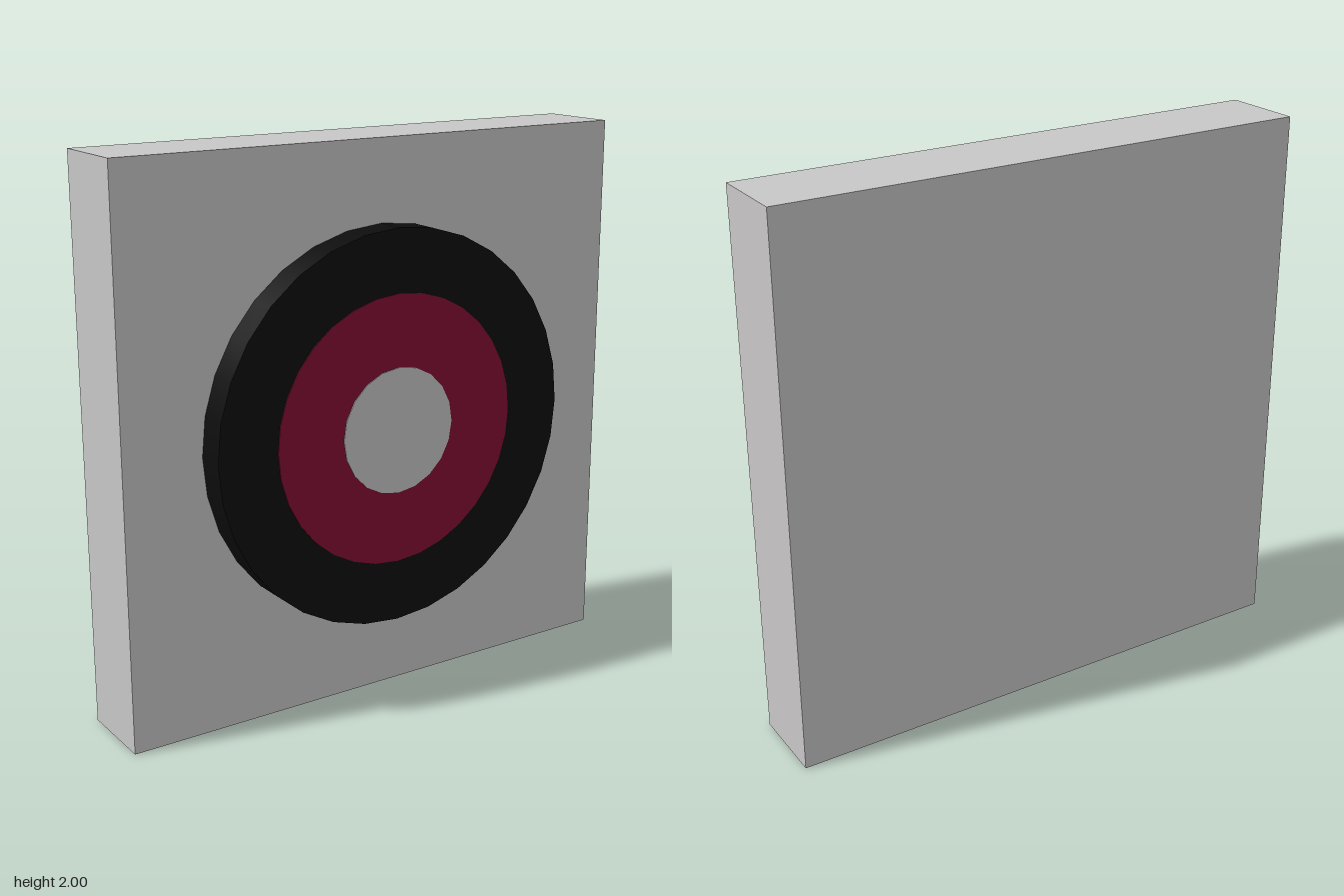
import * as THREE from 'three';

export function createModel() {
  const model = new THREE.Group();
  model.name = 'targetPanel';

  const paint = (name, color) => {
    const m = new THREE.MeshStandardMaterial({ color });
    m.name = name;
    return m;
  };
  const grey = paint('light grey', 0xc9c7c8);
  const black = paint('black', 0x0d0d0d);
  const crimson = paint('crimson', 0x860f35);

  // Everything sits on a barely turned panel
  const panel = new THREE.Group();
  panel.name = 'panel';
  panel.position.y = 1;
  panel.rotation.y = 0.005;
  model.add(panel);

  // Square backing slab
  const slab = new THREE.Mesh(new THREE.BoxGeometry(2, 2, 0.3), grey);
  slab.name = 'backingSlab';
  slab.position.z = -0.055;
  panel.add(slab);

  // Round plate facing the front, spanning back..front in z
  const addDisc = (name, radius, back, front, sides, material) => {
    const geometry = new THREE.CylinderGeometry(radius, radius, front - back, sides);
    geometry.rotateX(Math.PI / 2);
    const disc = new THREE.Mesh(geometry, material);
    disc.name = name;
    disc.position.z = (back + front) / 2;
    panel.add(disc);
  };

  // Raised disc with thin painted rings on its face
  addDisc('outerDisc', 0.71, 0.095, 0.202, 32, black);
  addDisc('middleRing', 0.485, 0.202, 0.205, 32, crimson);
  addDisc('centreSpot', 0.227, 0.205, 0.208, 20, grey);

  return model;
}
